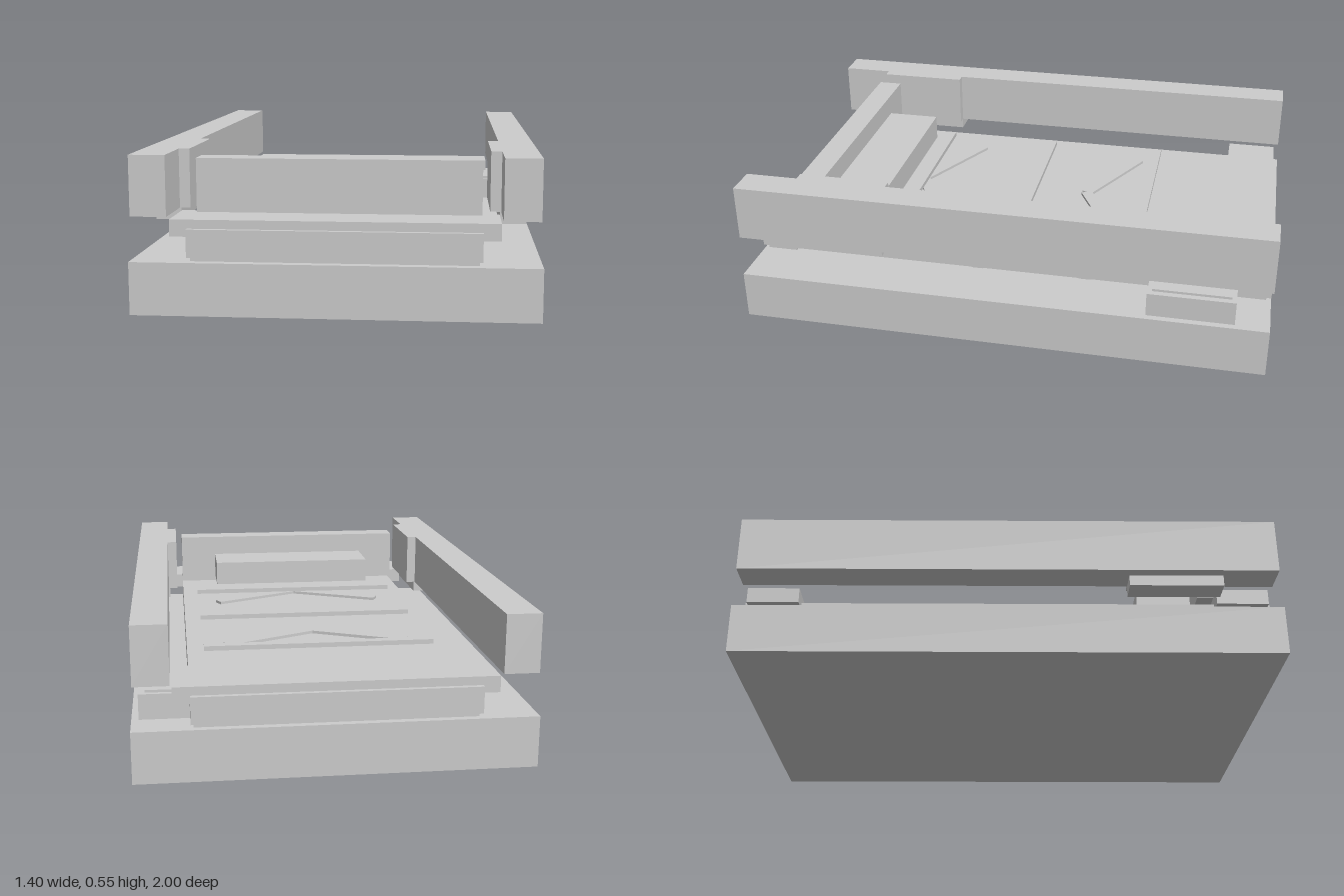
import * as THREE from 'three';

const material = new THREE.MeshStandardMaterial({ color: 0xcccccc, flatShading: true });

export function createModel() {
  const model = new THREE.Group();

  // Box given by its extents on each axis
  function box(name, [x0, x1], [y0, y1], [z0, z1]) {
    const mesh = new THREE.Mesh(new THREE.BoxGeometry(x1 - x0, y1 - y0, z1 - z0), material);
    mesh.name = name;
    mesh.position.set((x0 + x1) / 2, (y0 + y1) / 2, (z0 + z1) / 2);
    model.add(mesh);
    return mesh;
  }

  // Base and the bed resting above it
  box('base', [-0.7, 0.7], [0, 0.185], [-1, 1]);
  box('bed', [-0.5, 0.5], [0.203, 0.3], [-1, 1]);

  // End bars and the spacers beneath the bed
  for (const s of [-1, 1]) {
    const span = (a, b) => (s > 0 ? [a, b] : [-b, -a]);
    box('endBar', [-0.56, 0.56], [0.272, 0.331], span(0.787, 0.982));
    box('bedSpacer', [-0.49, 0.49], [0.188, 0.204], span(0.865, 0.982));

    // Side rails with an inner block and a foot
    box('sideRail', span(0.565, 0.69), [0.342, 0.552], [-1, 1]);
    box('railBlock', span(0.527, 0.566), [0.342, 0.552], [0.45, 0.8]);
    box('railFoot', span(0.56, 0.65), [0.3, 0.343], [0.45, 0.8]);
  }

  // Rollers partly sunk in the base
  for (const z of [0.127, -0.297]) {
    const roller = new THREE.Mesh(new THREE.CylinderGeometry(0.03, 0.03, 0.95, 16), material);
    roller.name = 'roller';
    roller.rotation.z = Math.PI / 2;
    roller.position.set(0, 0.168, z);
    model.add(roller);
  }

  // Upright front panel and the block behind it
  box('frontPanel', [-0.5, 0.5], [0.33, 0.522], [0.725, 0.82]);
  box('rearBlock', [-0.345, 0.345], [0.34, 0.44], [0.513, 0.726]);

  // Cross slats
  for (const z of [-0.474, -0.003, 0.468]) {
    box('slat', [-0.437, 0.437], [0.312, 0.33], [z - 0.019, z + 0.019]);
  }

  // V-shaped strips
  for (const z of [-0.315, 0.385]) {
    for (const s of [-1, 1]) {
      const arm = box('chevronArm', [-0.196, 0.196], [0.302, 0.313], [-0.0225, 0.0225]);
      arm.position.x = s * 0.175;
      arm.position.z = z;
      arm.rotation.y = s * 0.465;
    }
  }

  // Side box with its lid
  box('sideBox', [0.5, 0.675], [0.185, 0.276], [-0.875, -0.553]);
  box('sideBoxLid', [0.53, 0.652], [0.275, 0.285], [-0.858, -0.57]);

  return model;
}
